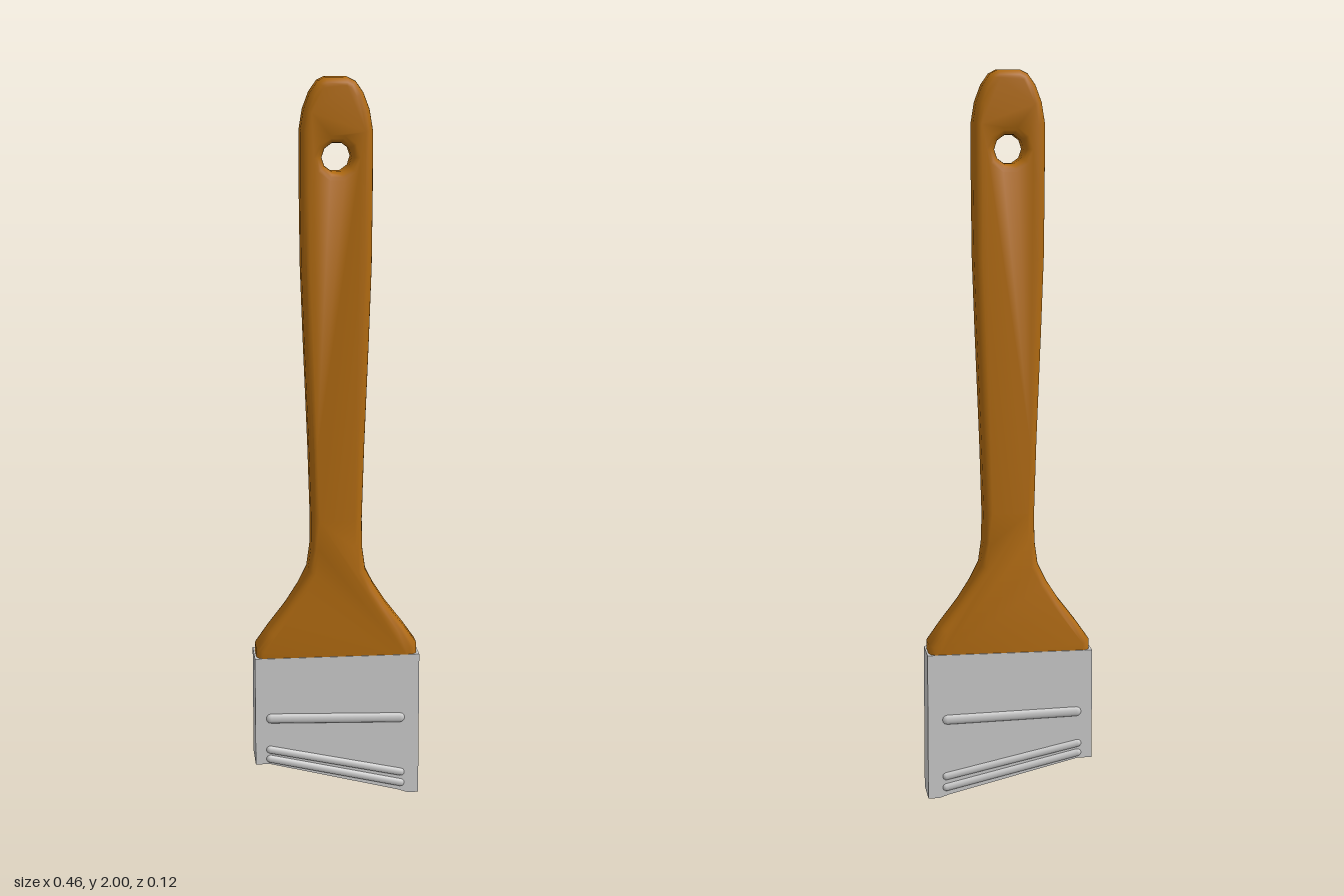
import * as THREE from 'three';
import { toCreasedNormals } from 'three/addons/utils/BufferGeometryUtils.js';

const wood = new THREE.MeshStandardMaterial({ color: 0xb06a10 });
const metal = new THREE.MeshStandardMaterial({ color: 0xcccccc });

function addMesh(parent, name, geometry, material) {
  const mesh = new THREE.Mesh(geometry, material);
  mesh.name = name;
  parent.add(mesh);
  return mesh;
}

// Half-outline of the handle as [half width, height]
const HANDLE = [
  [0.225, 0.37], [0.225, 0.435], [0.19, 0.485], [0.14, 0.55], [0.105, 0.605], [0.08, 0.655],
  [0.071, 0.72], [0.07, 0.8], [0.076, 1.0], [0.088, 1.3], [0.095, 1.5], [0.097, 1.7],
  [0.097, 1.86], [0.088, 1.915], [0.071, 1.96], [0.05, 1.99], [0.03, 2.0],
];

function createHandle() {
  const right = HANDLE.map(([x, y]) => new THREE.Vector2(x, y));
  const left = HANDLE.map(([x, y]) => new THREE.Vector2(-x, y)).reverse();
  const shape = new THREE.Shape([...right, ...left]);

  // Hanging hole near the top
  shape.holes.push(new THREE.Path().absarc(0, 1.79, 0.04, 0, Math.PI * 2, true));

  const geometry = new THREE.ExtrudeGeometry(shape, {
    depth: 0.05, curveSegments: 5,
    bevelThickness: 0.026, bevelSize: 0.021, bevelOffset: -0.021, bevelSegments: 4,
  });
  geometry.translate(0, 0, -0.026);
  return toCreasedNormals(geometry, 0.7);
}

// Metal sleeve with a slanted lower edge
function createFerrule() {
  const shape = new THREE.Shape([
    [-0.23, 0.41], [-0.23, 0.1], [-0.19, 0.1], [0.17, 0.01], [0.2, 0], [0.23, 0], [0.23, 0.41],
  ].map(([x, y]) => new THREE.Vector2(x, y)));
  const geometry = new THREE.ExtrudeGeometry(shape, { depth: 0.107, bevelEnabled: false });
  return geometry.translate(0, 0, -0.055);
}

// Shallow pressed ridge lying along a line on the sleeve
function addBead(parent, name, y0, y1, z, radius) {
  const x0 = -0.2, x1 = 0.19;
  const length = Math.hypot(x1 - x0, y1 - y0);
  const geometry = new THREE.CapsuleGeometry(radius, length - 2 * radius, 3, 10);
  geometry.rotateZ(Math.PI / 2);
  geometry.scale(1, 1, 0.008 / radius);
  const bead = addMesh(parent, name, geometry, metal);
  bead.position.set((x0 + x1) / 2, (y0 + y1) / 2, z);
  bead.rotation.z = Math.atan2(y1 - y0, x1 - x0);
}

export function createModel() {
  const model = new THREE.Group();
  model.name = 'paintbrush';
  addMesh(model, 'handle', createHandle(), wood);

  const ferrule = new THREE.Group();
  ferrule.name = 'ferrule';
  model.add(ferrule);
  addMesh(ferrule, 'sleeve', createFerrule(), metal);

  // One ridge across the middle and two along the slanted edge, on both faces
  for (const [side, z] of [['front', 0.052], ['back', -0.054]]) {
    addBead(ferrule, side + 'MiddleRidge', 0.235, 0.225, z, 0.014);
    addBead(ferrule, side + 'UpperRidge', 0.145, 0.06, z, 0.011);
    addBead(ferrule, side + 'LowerRidge', 0.118, 0.028, z, 0.011);
  }
  return model;
}
